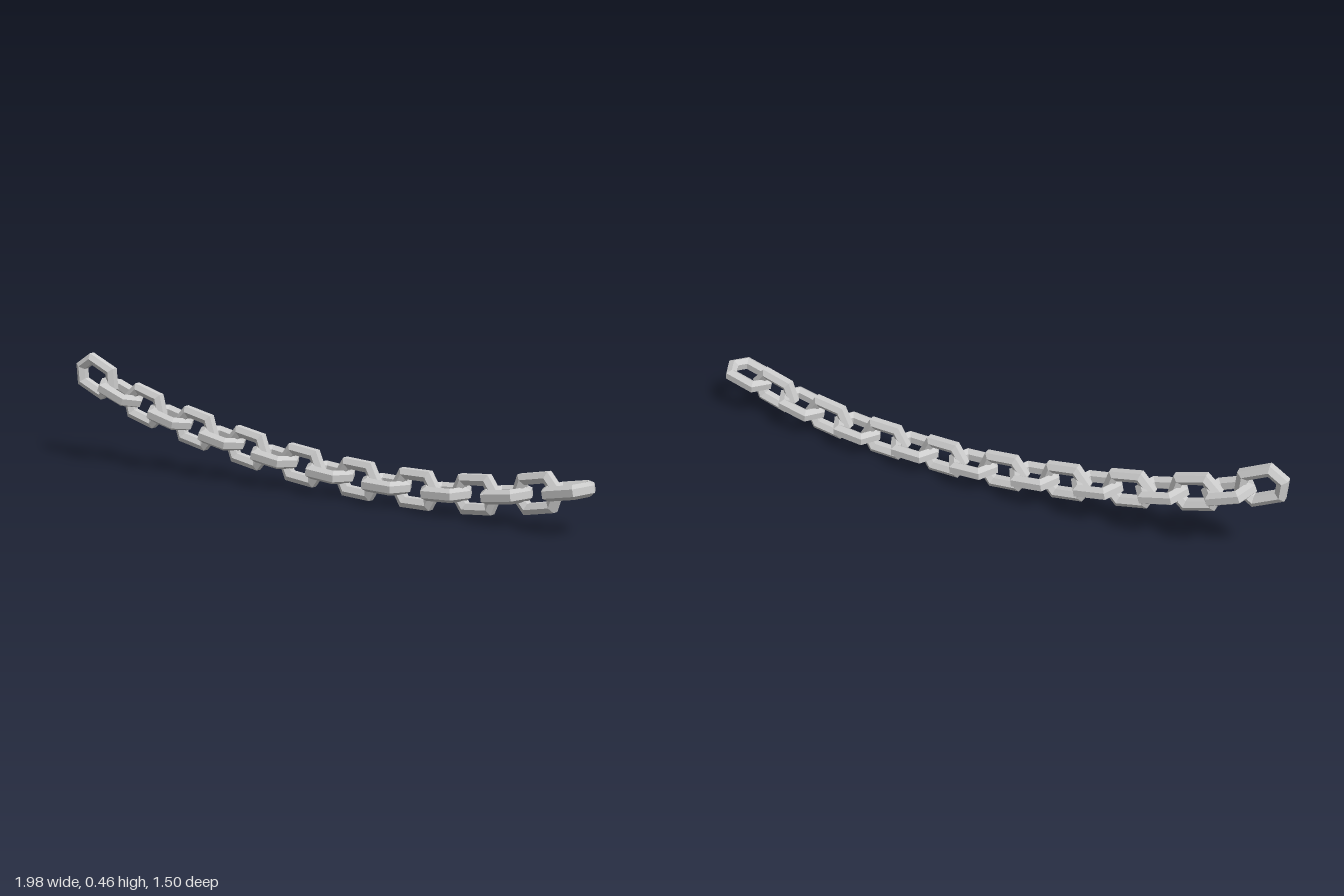
import * as THREE from 'three';

const LINKS = 18;
const RING = 0.0635;     // centreline radius of the six-sided ring
const BAR = 0.027;       // radius of the six-sided bar
const STRETCH = 0.022;   // half of the extra length added to the ring

// Six-sided ring with a six-sided bar, pulled longer along z
function linkGeometry() {
  const profile = [];
  for (let i = 0; i <= 6; i++) {
    const a = (i - 0.5) * Math.PI / 3;
    profile.push(new THREE.Vector2(RING + BAR * Math.cos(a), BAR * Math.sin(a)));
  }
  const geometry = new THREE.LatheGeometry(profile, 6);
  const pos = geometry.attributes.position;
  for (let i = 0; i < pos.count; i++) {
    pos.setZ(i, pos.getZ(i) + Math.sign(pos.getZ(i)) * STRETCH);
  }
  geometry.computeVertexNormals();
  return geometry;
}

export function createModel() {
  const chain = new THREE.Group();
  chain.name = 'hangingChain';
  const material = new THREE.MeshStandardMaterial({ color: 0xcccccc, flatShading: true });
  const geometry = linkGeometry();

  // Sagging line through the link centres
  const sag = new THREE.CatmullRomCurve3([
    [-0.905, 0.368, -0.695], [-0.80, 0.308, -0.63], [-0.588, 0.23, -0.487],
    [-0.374, 0.172, -0.337], [-0.16, 0.126, -0.18], [0.053, 0.096, -0.024],
    [0.267, 0.084, 0.144], [0.48, 0.088, 0.305], [0.684, 0.115, 0.47], [0.89, 0.168, 0.644],
  ].map((p) => new THREE.Vector3(...p)));

  // Links alternate between upright and flat
  for (let i = 0; i < LINKS; i++) {
    const u = i / (LINKS - 1);
    const upright = i % 2 === 0;
    const link = new THREE.Mesh(geometry, material);
    link.name = (upright ? 'uprightLink' : 'flatLink') + (i + 1);
    link.position.copy(sag.getPointAt(u));
    link.lookAt(link.position.clone().add(sag.getTangentAt(u)));
    if (upright) link.rotateZ(Math.PI / 2);
    chain.add(link);
  }
  return chain;
}
